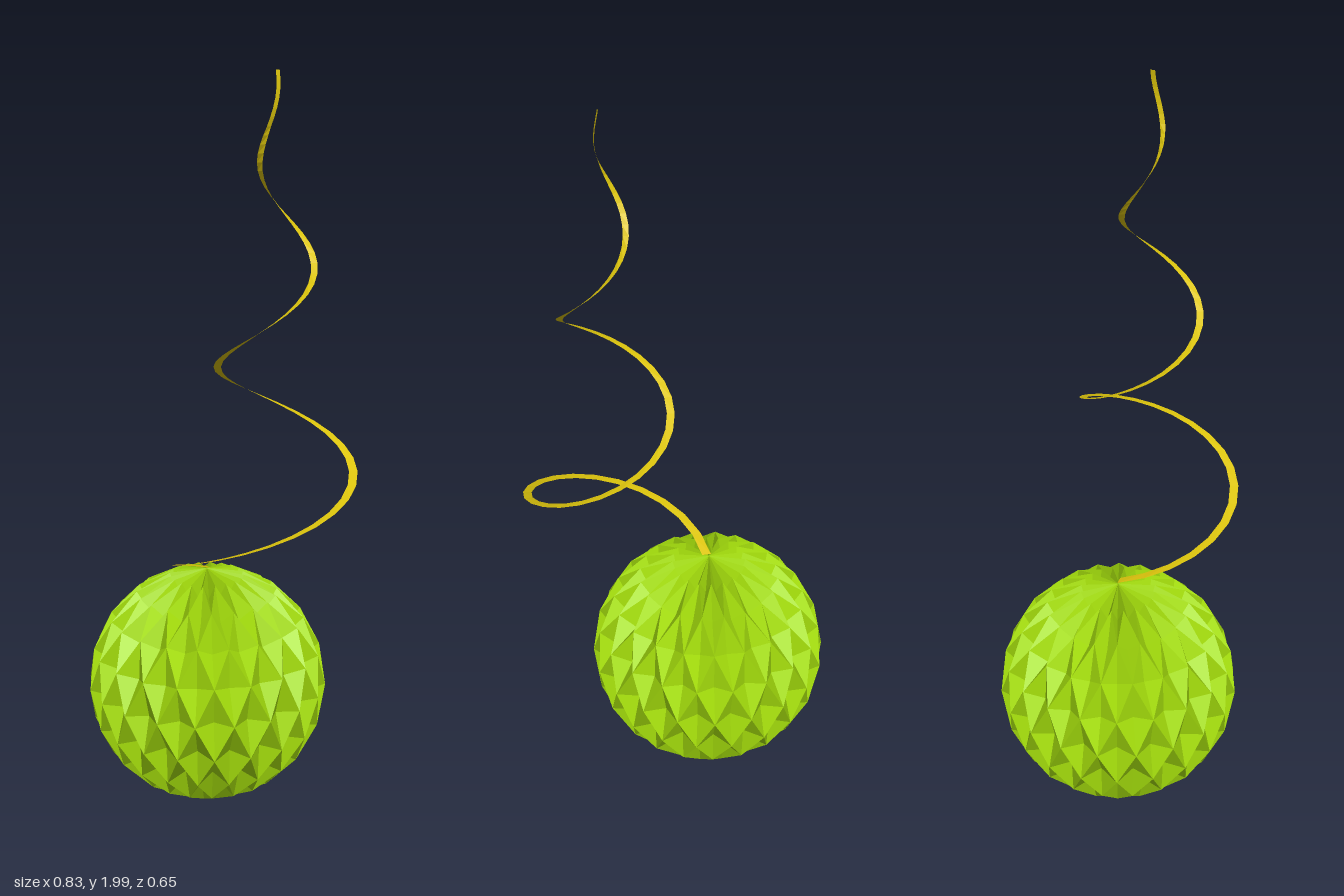
import * as THREE from 'three';

const green = new THREE.MeshStandardMaterial({ color: 0xa6e00c });
green.name = 'lime paper';
green.flatShading = true;
const gold = new THREE.MeshStandardMaterial({ color: 0xdcc40c, side: THREE.DoubleSide });
gold.name = 'gold ribbon';
gold.flatShading = true;

// Folded ball: a sphere grid whose alternate vertices are pushed inward,
// split along the outer vertices so that each inner one makes a diamond pit.
function foldedBall(radius, pit, rows, cols) {
  const point = (i, j) => {
    const lat = Math.PI * i / rows, lon = 2 * Math.PI * j / cols;
    const pole = i === 0 || i === rows;
    const r = pole || (i + j) % 2 === 0 ? radius : radius * pit;
    const s = pole ? 0 : Math.sin(lat);
    return [r * s * Math.cos(lon), r * Math.cos(lat), r * s * Math.sin(lon)];
  };
  const pos = [];
  const tri = (...pts) => pts.forEach((p) => pos.push(...p));
  for (let i = 0; i < rows; i++) {
    for (let j = 0; j < cols; j++) {
      const a = point(i, j), b = point(i, j + 1), c = point(i + 1, j + 1), d = point(i + 1, j);
      if (i === 0) tri(a, c, d);
      else if (i === rows - 1) tri(a, b, c);
      else if ((i + j) % 2 === 0) { tri(a, b, c); tri(a, c, d); }
      else { tri(a, b, d); tri(b, c, d); }
    }
  }
  const geo = new THREE.BufferGeometry();
  geo.setAttribute('position', new THREE.Float32BufferAttribute(pos, 3));
  geo.computeVertexNormals();
  return geo;
}

// Tapering spiral ribbon, lying flat like a ramp around its axis
function spiralRibbon(bottom, top, radius, turns, segments) {
  const pos = [], index = [];
  for (let k = 0; k <= segments; k++) {
    const t = k / segments;
    const angle = Math.PI - 2 * Math.PI * turns * t;
    const flat = Math.PI - 2 * Math.PI * turns * Math.min(t, 0.9);
    const r = radius * (1 - t), half = 0.0125 * (1 - 0.5 * t);
    for (const side of [-half, half]) {
      pos.push(
        r * Math.cos(angle) + side * Math.cos(flat),
        bottom + (top - bottom) * t,
        r * Math.sin(angle) + side * Math.sin(flat)
      );
    }
    if (k < segments) {
      const n = 2 * k;
      index.push(n, n + 1, n + 2, n + 1, n + 3, n + 2);
    }
  }
  const geo = new THREE.BufferGeometry();
  geo.setAttribute('position', new THREE.Float32BufferAttribute(pos, 3));
  geo.setIndex(index);
  geo.computeVertexNormals();
  return geo;
}

export function createModel() {
  const model = new THREE.Group();
  model.name = 'paperBallOrnament';

  const ball = new THREE.Mesh(foldedBall(0.329, 0.87, 10, 40), green);
  ball.name = 'foldedBall';
  ball.position.set(-0.09, 0.335, 0);

  const ribbon = new THREE.Mesh(spiralRibbon(0.67, 2, 0.268, 2.5, 60), gold);
  ribbon.name = 'spiralRibbon';
  ribbon.position.set(0.185, 0, 0);

  model.add(ball, ribbon);
  return model;
}
